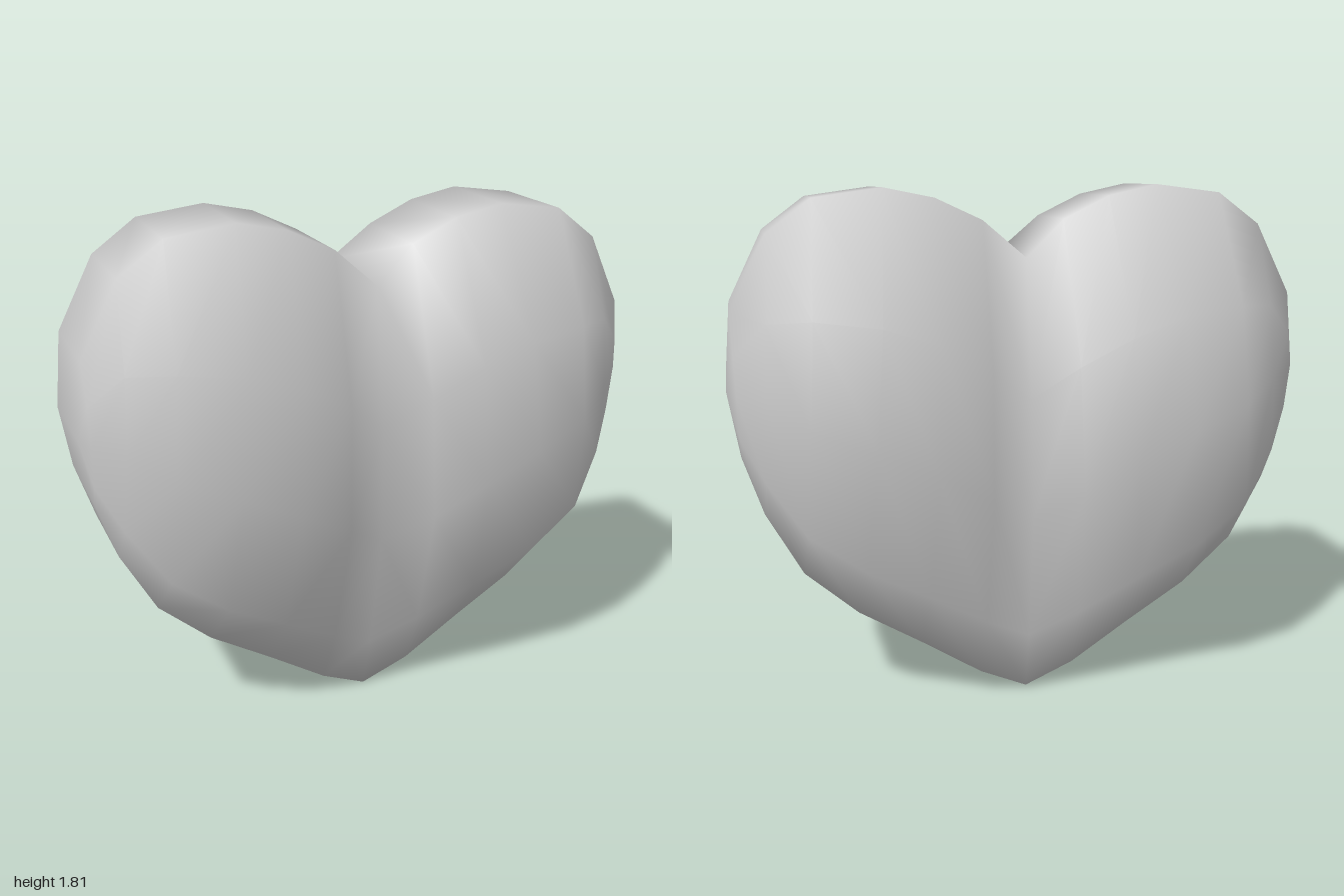
import * as THREE from 'three';
import { mergeVertices } from 'three/addons/utils/BufferGeometryUtils.js';

// Columns of one lobe, from the centre valley to the side:
// bottom x, y, top x, y, rim half depth, greatest half depth, fullness near the bottom
const COLUMNS = [
  [0, 0, 0, 1.56, 0.155, 0.285, 0.4],
  [0.17, 0.08, 0.14, 1.685, 0.17, 0.375, 0.45],
  [0.38, 0.215, 0.3, 1.76, 0.17, 0.41, 0.6],
  [0.6, 0.35, 0.47, 1.795, 0.17, 0.412, 0.75],
  [0.78, 0.51, 0.7, 1.765, 0.17, 0.376, 0.8],
  [0.9, 0.73, 0.85, 1.655, 0.17, 0.288, 0.8],
  [0.965, 0.93, 0.975, 1.41, 0.17, 0.205, 0.8],
  [1, 1.15, 1, 1.15, 0.17, 0.17, 0.8],
];
const ROWS = [0, 0.14, 0.43, 0.7, 1];

// Closed ring of points: up the front, down the back
function ring([bx, by, tx, ty, rim, peak, low], side) {
  const swell = [0, low, 1, 0.85, 0];
  const front = ROWS.map((v, k) => {
    const edge = rim + (tx === 0 ? 0.05 * v : 0); // the notch is a little deeper
    return [side * (bx + (tx - bx) * v), by + (ty - by) * v, edge + (peak - edge) * swell[k]];
  });
  const back = front.map(([x, y, z]) => [x, y, -z]).reverse();
  return [...front, ...back];
}

// Closed skin over all rings, with smooth normals
function heartGeometry() {
  const rings = [
    ...COLUMNS.slice(1).reverse().map((c) => ring(c, -1)),
    ...COLUMNS.map((c) => ring(c, 1)),
  ];
  const n = ROWS.length * 2;
  const positions = [];
  const same = (p, q) => p.every((value, i) => Math.abs(value - q[i]) < 1e-6);
  const triangle = (a, b, c) => {
    if (!same(a, b) && !same(b, c) && !same(a, c)) positions.push(...a, ...b, ...c);
  };
  for (let i = 0; i < rings.length - 1; i++) {
    for (let k = 0; k < n; k++) {
      const a = rings[i][k], b = rings[i + 1][k];
      const c = rings[i + 1][(k + 1) % n], d = rings[i][(k + 1) % n];
      // mirrored diagonals on the two lobes
      if (i < COLUMNS.length - 1) {
        triangle(a, b, c);
        triangle(a, c, d);
      } else {
        triangle(a, b, d);
        triangle(b, c, d);
      }
    }
  }
  const soup = new THREE.BufferGeometry();
  soup.setAttribute('position', new THREE.Float32BufferAttribute(positions, 3));
  const geometry = mergeVertices(soup, 1e-4);
  geometry.computeVertexNormals();
  return geometry;
}

export function createModel() {
  const material = new THREE.MeshStandardMaterial({ color: 0xcccccc });

  // two-lobed heart, leaning slightly forward about its middle
  const geometry = heartGeometry();
  geometry.translate(0, -0.9, 0).rotateX(0.036).translate(0, 0.9, 0);
  const heart = new THREE.Mesh(geometry, material);
  heart.name = 'heart';

  const model = new THREE.Group();
  model.name = 'heartModel';
  model.add(heart);
  return model;
}
